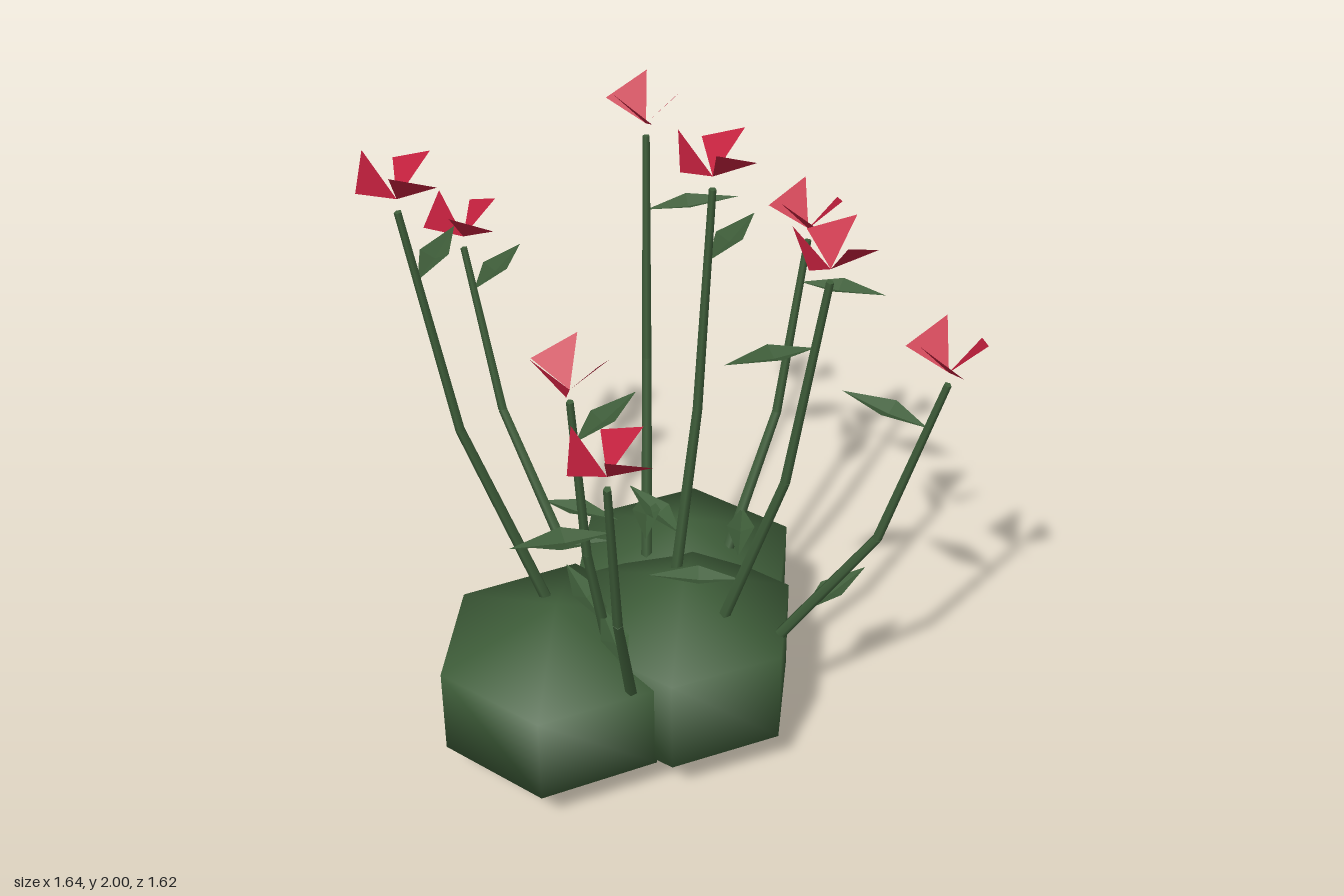
import * as THREE from 'three';

const UP = new THREE.Vector3(0, 1, 0);

// Horizontal direction for a bearing in degrees, from +x towards +z
function heading(deg) {
  const a = THREE.MathUtils.degToRad(deg);
  return new THREE.Vector3(Math.cos(a), 0, Math.sin(a));
}

// Non-indexed triangles with flat normals
function facets(points) {
  const g = new THREE.BufferGeometry();
  g.setAttribute('position', new THREE.Float32BufferAttribute(points.flatMap((p) => p.toArray()), 3));
  g.computeVertexNormals();
  return g;
}

// Three twisted triangular petals rising from a shared centre
function petalGeometry() {
  const points = [];
  for (let deg = 0; deg < 360; deg += 120) {
    const high = heading(deg + 35).multiplyScalar(0.102).addScaledVector(UP, 0.115);
    const low = heading(deg - 35).multiplyScalar(0.12).addScaledVector(UP, 0.058);
    points.push(new THREE.Vector3(), high, low);
  }
  return facets(points);
}

// Pointed leaf along +x, creased along its spine
function leafGeometry() {
  const base = new THREE.Vector3();
  const tip = new THREE.Vector3(0.265, 0.02, 0);
  const spine = new THREE.Vector3(0.12, 0, 0);
  const left = new THREE.Vector3(0.12, 0.02, -0.042);
  const right = new THREE.Vector3(0.12, 0.02, 0.042);
  return facets([base, spine, left, spine, tip, left, base, right, spine, spine, right, tip]);
}

// Straight tapered length of stem between two points
function stemPiece(a, b, r0, r1, material) {
  const dir = b.clone().sub(a);
  const mesh = new THREE.Mesh(new THREE.CylinderGeometry(r1, r0, dir.length(), 5), material);
  mesh.position.copy(a).addScaledVector(dir, 0.5);
  mesh.quaternion.setFromUnitVectors(UP, dir.normalize());
  mesh.name = 'stem';
  return mesh;
}

// Stem foot and top, petal bearing, and leaves as [height, bearing]
const FLOWERS = [
  { foot: [-0.40, 0.5, 0.02], top: [-0.74, 1.85, 0.09], turn: 50, leaves: [[1.64, -79], [0.72, -7]] },
  { foot: [-0.41, 0.45, -0.32], top: [-0.72, 1.35, -0.58], turn: 65, leaves: [[1.22, -68], [0.58, 22]] },
  { foot: [-0.14, 0.45, -0.24], top: [-0.16, 1.8, -0.49], turn: 110, leaves: [[1.58, -15], [0.7, 84]] },
  { foot: [-0.2, 0.45, 0.16], top: [-0.27, 1.43, 0.3], turn: 0, leaves: [[1.29, -59], [0.59, -122]] },
  { foot: [-0.12, 0.42, 0.3], top: [-0.115, 1.47, 0.72], turn: 50, leaves: [[1.3, 154], [0.6, -114]] },
  { foot: [-0.04, 0.5, -0.09], top: [0.06, 1.84, -0.135], turn: 45, leaves: [[1.62, -66], [0.7, -132]] },
  { foot: [0.1, 0.48, -0.31], top: [0.3, 1.44, -0.58], turn: 105, leaves: [[1.31, 18], [0.61, 88]] },
  { foot: [0.11, 0.5, 0.07], top: [0.39, 1.76, 0.17], turn: 30, leaves: [[1.55, 149], [0.7, 173]] },
  { foot: [0.26, 0.43, 0.05], top: [0.71, 1.46, 0.16], turn: -12, leaves: [[1.31, -152], [0.58, -49]] },
];

// Bush centres and radii
const BUSHES = [
  { centre: [-0.365, 0.29, 0.11], size: [0.42, 0.285, 0.425] },
  { centre: [0, 0.32, -0.005], size: [0.4, 0.31, 0.385] },
  { centre: [-0.04, 0.285, -0.35], size: [0.415, 0.28, 0.395] },
];

export function createModel() {
  const model = new THREE.Group();
  model.name = 'floweringBush';
  const green = new THREE.MeshStandardMaterial({ color: 0x3f5e3a, side: THREE.DoubleSide });
  green.name = 'foliage green';
  const red = new THREE.MeshStandardMaterial({ color: 0xc4203e, side: THREE.DoubleSide });
  red.name = 'petal red';

  // Rounded six-sided bushes
  const bushGeometry = new THREE.SphereGeometry(1, 6, 3);
  bushGeometry.rotateY(Math.PI / 6);
  for (const { centre, size } of BUSHES) {
    const bush = new THREE.Mesh(bushGeometry, green);
    bush.name = 'bush';
    bush.position.set(...centre);
    bush.scale.set(...size);
    model.add(bush);
  }

  // Flowers on stems that bend upright about two thirds of the way up
  const petals = petalGeometry();
  const leafShape = leafGeometry();
  for (const f of FLOWERS) {
    const flower = new THREE.Group();
    flower.name = 'flower';
    const foot = new THREE.Vector3(...f.foot);
    const top = new THREE.Vector3(...f.top);
    const bend = foot.clone().lerp(top, 0.65).setY(top.y * 0.62);
    flower.add(stemPiece(foot, bend, 0.018, 0.0145, green), stemPiece(bend, top, 0.0145, 0.011, green));

    const head = new THREE.Mesh(petals, red);
    head.name = 'petals';
    head.position.copy(top).addScaledVector(UP, 0.038);
    head.rotation.y = -THREE.MathUtils.degToRad(f.turn);
    flower.add(head);

    // Each leaf grows from the stem at its own height
    for (const [height, bearing] of f.leaves) {
      const [a, b] = height < bend.y ? [foot, bend] : [bend, top];
      const leaf = new THREE.Mesh(leafShape, green);
      leaf.name = 'leaf';
      leaf.position.lerpVectors(a, b, (height - a.y) / (b.y - a.y));
      leaf.rotation.y = -THREE.MathUtils.degToRad(bearing);
      flower.add(leaf);
    }
    model.add(flower);
  }
  return model;
}
